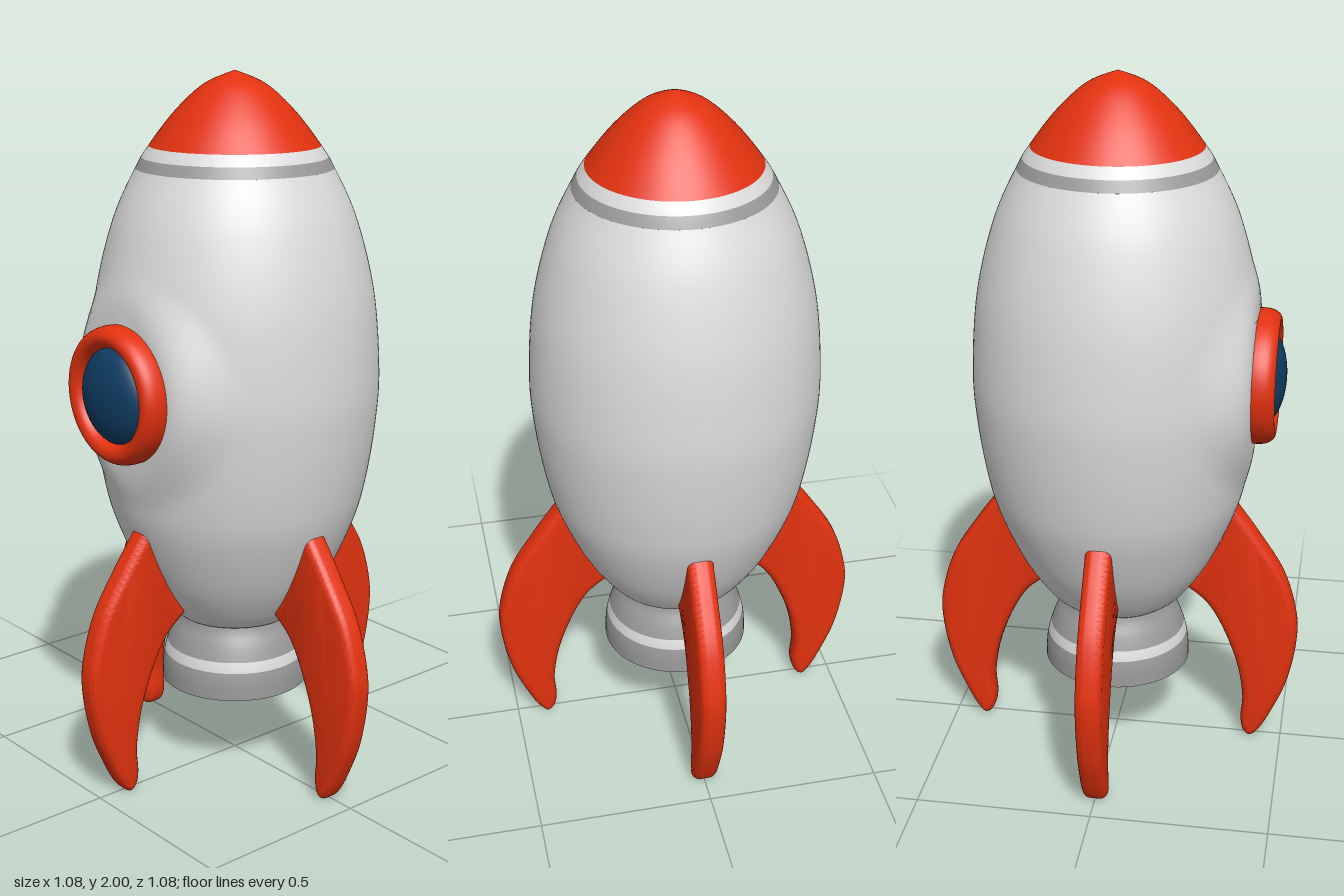
import * as THREE from 'three';
import { mergeVertices, toCreasedNormals } from 'three/addons/utils/BufferGeometryUtils.js';

const mat = (name, color, side = THREE.FrontSide) => {
  const m = new THREE.MeshStandardMaterial({ color, side });
  m.name = name;
  return m;
};
const v2 = (list) => list.map(([x, y]) => new THREE.Vector2(x, y));

// Lathe with its seam at the back; points run from bottom to top
const lathe = (points, segments = 96) => new THREE.LatheGeometry(points, segments, Math.PI);

// Part of a dense profile between two heights, with exact end points
function slice(profile, y0, y1) {
  const at = (y) => {
    for (let i = 1; i < profile.length; i++) {
      const a = profile[i - 1], b = profile[i];
      if (y <= b.y) return new THREE.Vector2(a.x + (b.x - a.x) * (y - a.y) / (b.y - a.y), y);
    }
    return profile[profile.length - 1].clone();
  };
  return [at(y0), ...profile.filter((p) => p.y > y0 + 0.001 && p.y < y1 - 0.001), at(y1)];
}

export function createModel() {
  const group = new THREE.Group();
  group.name = 'rocket';
  const white = mat('hullWhite', 0xdcdcdc);
  const grey = mat('metalGrey', 0x9a9a9a);
  const red = mat('red', 0xe2320f);
  const blue = mat('glassBlue', 0x0f3d63);
  const black = mat('nozzleBlack', 0x0c0c0c, THREE.DoubleSide);

  const add = (name, geometry, material, parent = group) => {
    const mesh = new THREE.Mesh(geometry, material);
    mesh.name = name;
    parent.add(mesh);
    return mesh;
  };

  // Hull profile shared by the body, stripe and nose
  const hull = new THREE.SplineCurve(v2([
    [0.17, 0.455], [0.212, 0.495], [0.28, 0.6], [0.345, 0.75], [0.376, 0.87], [0.399, 1.03],
    [0.406, 1.18], [0.387, 1.4], [0.336, 1.6], [0.272, 1.74], [0.235, 1.8],
    [0.165, 1.89], [0.085, 1.963], [0, 2],
  ])).getPoints(104);

  // Body, drawn out at the front to seat the window
  const windowY = 1.165;
  const body = lathe([new THREE.Vector2(0, 0.455), ...slice(hull, 0.455, 1.74)], 128);
  const pos = body.attributes.position;
  for (let i = 0; i < pos.count; i++) {
    const z = pos.getZ(i);
    if (z <= 0) continue;
    const d = Math.hypot(pos.getX(i), pos.getY(i) - windowY);
    const w = 1 - THREE.MathUtils.smoothstep(d, 0.17, 0.33);
    pos.setZ(i, z + w * Math.max(0, 0.392 - z));
  }
  body.deleteAttribute('uv');
  body.deleteAttribute('normal');
  const smoothBody = mergeVertices(body, 1e-5);
  smoothBody.computeVertexNormals();
  add('body', smoothBody, white);

  // Nose with its bands
  add('noseStripe', lathe(slice(hull, 1.74, 1.77)), grey);
  add('noseBand', lathe(slice(hull, 1.77, 1.8)), white);
  add('noseCone', lathe(slice(hull, 1.8, 2)), red);

  // Porthole: rounded frame and domed glass
  const porthole = new THREE.Group();
  porthole.name = 'porthole';
  porthole.position.set(0, windowY, 0);
  porthole.rotation.x = Math.PI / 2;
  group.add(porthole);
  const ring = new THREE.SplineCurve(v2([
    [0.186, 0.37], [0.19, 0.4], [0.186, 0.43], [0.172, 0.449], [0.155, 0.452], [0.14, 0.444], [0.13, 0.425], [0.128, 0.4],
  ])).getPoints(28);
  add('windowFrame', lathe(ring, 64), red, porthole);
  const glass = add('windowGlass',
    new THREE.SphereGeometry(0.135, 48, 16, 0, Math.PI * 2, 0, Math.PI / 2), blue, porthole);
  glass.scale.y = 0.065 / 0.135;
  glass.position.y = 0.41;

  // Engine nozzle: banded bell, rim and dark inside
  const bell = new THREE.SplineCurve(v2([
    [0.214, 0.25], [0.212, 0.3], [0.203, 0.345], [0.185, 0.395], [0.165, 0.435], [0.155, 0.47],
  ])).getPoints(40);
  add('nozzleLower', lathe(slice(bell, 0.25, 0.33)), grey);
  add('nozzleStripe', lathe(slice(bell, 0.33, 0.36)), white);
  add('nozzleUpper', lathe(slice(bell, 0.36, 0.47)), grey);
  add('nozzleRim', lathe(v2([[0.182, 0.262], [0.188, 0.252], [0.214, 0.25]])), grey);
  add('nozzleInside', lathe(v2([[0.182, 0.262], [0.175, 0.33], [0.13, 0.43], [0, 0.44]])), black);

  // Four curved fins with rounded edges
  const outline = new THREE.Shape();
  outline.moveTo(0.29, 0.82);
  outline.lineTo(0.35, 0.762);
  outline.splineThru(v2([
    [0.42, 0.665], [0.492, 0.55], [0.532, 0.42], [0.535, 0.32], [0.51, 0.19], [0.465, 0.08],
    [0.435, 0.025], [0.41, 0.002], [0.388, 0.018], [0.379, 0.06], [0.382, 0.14],
    [0.362, 0.25], [0.318, 0.365], [0.27, 0.445], [0.21, 0.495],
  ]));
  outline.lineTo(0.14, 0.53);
  outline.closePath();
  const bevel = 0.024;
  const finGeometry = new THREE.ExtrudeGeometry(outline, {
    depth: 0.074 - 2 * bevel, curveSegments: 48, bevelEnabled: true,
    bevelSize: bevel, bevelOffset: -bevel, bevelThickness: bevel, bevelSegments: 5,
  });
  finGeometry.translate(0, 0, -(0.074 - 2 * bevel) / 2);
  const fin = toCreasedNormals(finGeometry, 0.7);
  ['finLeft', 'finBack', 'finRight', 'finFront'].forEach((name, i) => {
    add(name, fin, red).rotation.y = i * Math.PI / 2;
  });

  return group;
}
